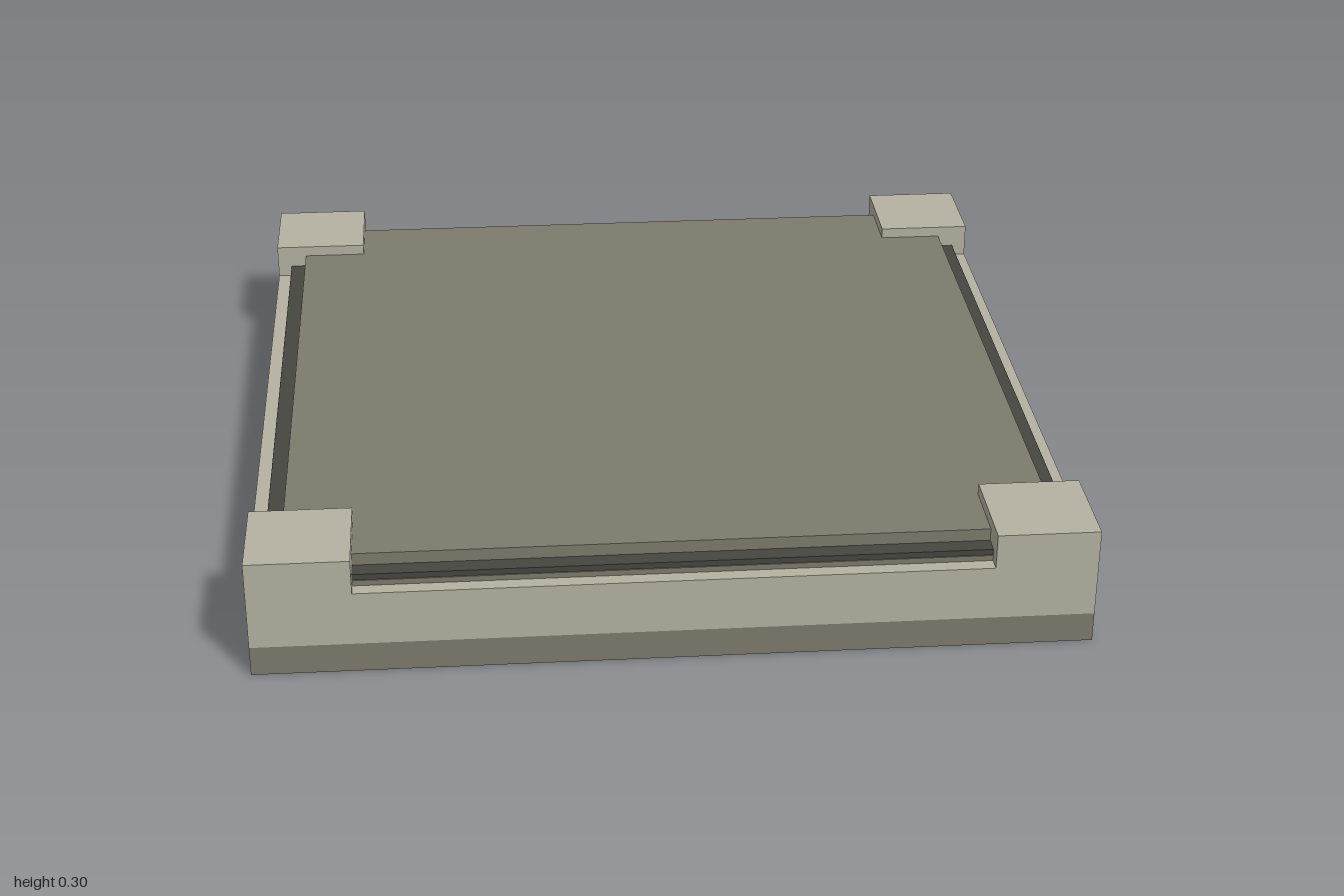
import * as THREE from 'three';

const paleStone = new THREE.MeshStandardMaterial({ color: 0xb5b1a2 });
paleStone.name = 'pale stone';
const greyStone = new THREE.MeshStandardMaterial({ color: 0x7d7a6d });
greyStone.name = 'grey stone';
const darkSeam = new THREE.MeshStandardMaterial({ color: 0x454640 });
darkSeam.name = 'dark seam';

export function createModel() {
  const group = new THREE.Group();

  // Box of square plan, standing from y0 to y1
  function block(name, width, y0, y1, material, x = 0, z = 0) {
    const mesh = new THREE.Mesh(new THREE.BoxGeometry(width, y1 - y0, width), material);
    mesh.name = name;
    mesh.position.set(x, (y0 + y1) / 2, z);
    group.add(mesh);
  }

  // Stacked layers, bottom to top
  block('plinth', 2, 0, 0.075, greyStone);
  block('body', 2, 0.075, 0.212, paleStone);
  block('lowerStep', 1.93, 0.212, 0.226, greyStone);
  block('seam', 1.925, 0.226, 0.241, darkSeam);
  block('topSlab', 1.84, 0.241, 0.272, greyStone);

  // Raised corner blocks, flush with the body
  for (const sx of [-1, 1]) {
    for (const sz of [-1, 1]) {
      block('cornerBlock', 0.246, 0.212, 0.3, paleStone, sx * 0.877, sz * 0.877);
    }
  }
  return group;
}
